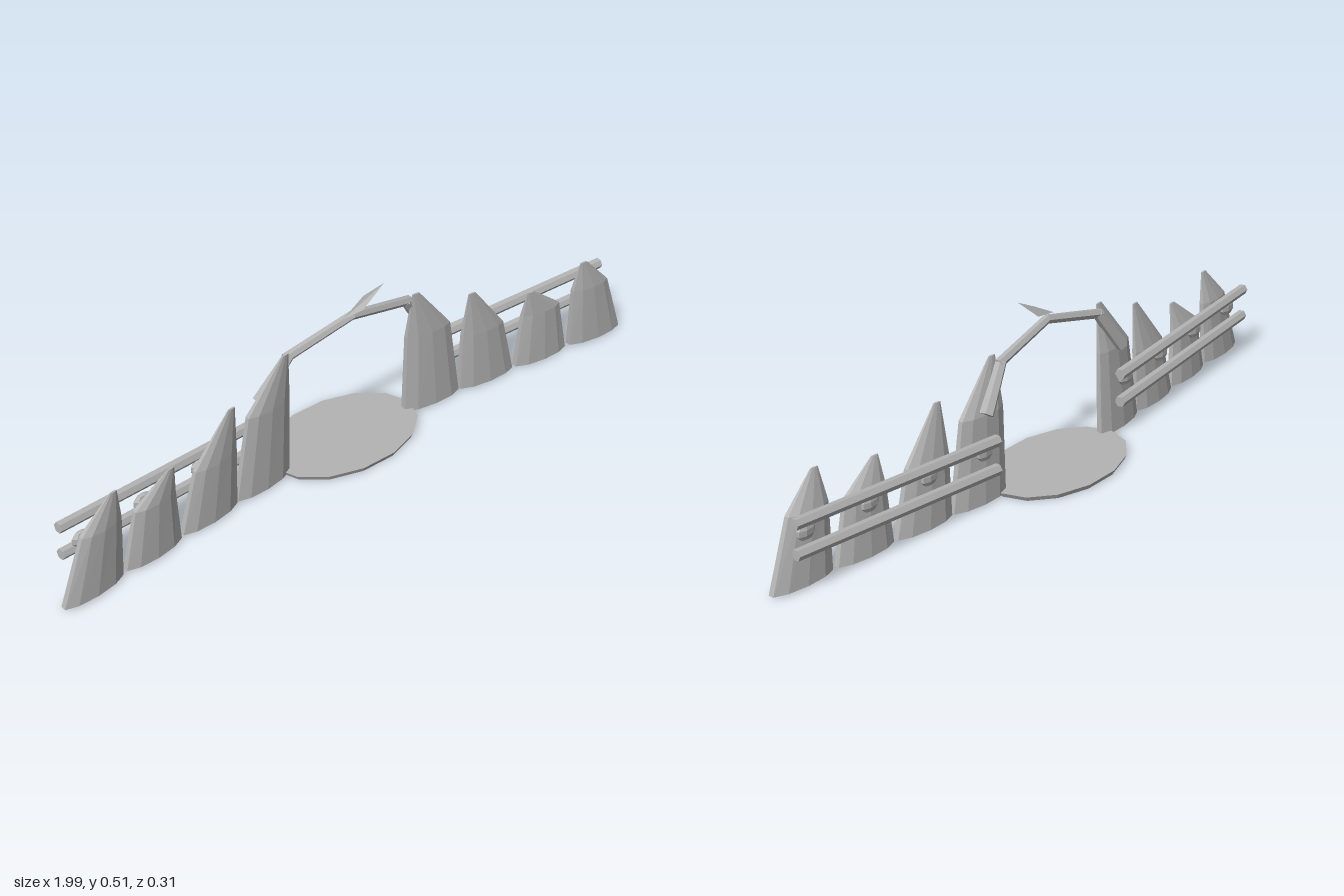
import * as THREE from 'three';

const stone = new THREE.MeshStandardMaterial({ color: 0xb4b4b4, flatShading: true, side: THREE.DoubleSide });
stone.name = 'grey';

function add(parent, name, geometry) {
  const mesh = new THREE.Mesh(geometry, stone);
  mesh.name = name;
  parent.add(mesh);
  return mesh;
}

// Straight bar between two points
function bar(parent, name, a, b, ra, rb, sides = 6) {
  const p = new THREE.Vector3(...a), q = new THREE.Vector3(...b);
  const d = q.clone().sub(p);
  const mesh = add(parent, name, new THREE.CylinderGeometry(rb, ra, d.length(), sides));
  mesh.position.copy(p).add(q).multiplyScalar(0.5);
  mesh.quaternion.setFromUnitVectors(new THREE.Vector3(0, 1, 0), d.normalize());
}

// Flattened picket lofted through base, shoulder and tip; each row is [xInner, xOuter, y, halfDepth, z]
function picket(rows, side) {
  const geo = new THREE.CylinderGeometry(1, 1, 1, 10, 2);
  const pos = geo.attributes.position;
  for (let i = 0; i < pos.count; i++) {
    const [x0, x1, y, depth, z] = rows[Math.round((pos.getY(i) + 0.5) * 2)];
    const dx = pos.getX(i) * (x1 - x0) / 2;
    pos.setXYZ(i, side * (x0 + x1) / 2 + dx, y, z + pos.getZ(i) * depth + dx * side * 0.09);
  }
  geo.computeVertexNormals();
  return geo;
}

// base span, shoulder span and height, tip position, depth position
const PICKETS = [
  { base: [0.205, 0.405], shoulder: [0.205, 0.36, 0.26], tip: [0.228, 0.405], z: 0.026 },
  { base: [0.4, 0.6], shoulder: [0.4, 0.55, 0.19], tip: [0.422, 0.335], z: 0.046 },
  { base: [0.6, 0.795], shoulder: [0.615, 0.755, 0.178], tip: [0.635, 0.26], z: 0.068 },
  { base: [0.8, 1.0], shoulder: [0.797, 0.93, 0.2], tip: [0.824, 0.295], z: 0.09 },
];

export function createModel() {
  const model = new THREE.Group();
  model.name = 'fenceWithArch';

  // Oval ground slab
  const slab = add(model, 'groundSlab', new THREE.CylinderGeometry(1, 0.965, 0.014, 14));
  slab.geometry.rotateY(Math.PI / 2);
  slab.scale.set(0.243, 1, 0.161);
  slab.position.y = 0.007;

  for (const side of [1, -1]) {
    const half = new THREE.Group();
    half.name = side > 0 ? 'leftFence' : 'rightFence';
    model.add(half);

    for (const { base, shoulder, tip, z } of PICKETS) {
      add(half, 'picket', picket([
        [...base, 0.006, 0.027, z],
        [...shoulder, 0.022, z + 0.004],
        [tip[0] - 0.012, tip[0] + 0.012, tip[1], 0.003, z + 0.012],
      ], side));
      // Knot holding the picket to the rails
      const knot = add(half, 'knot', new THREE.SphereGeometry(1, 7, 5));
      knot.scale.set(0.032, 0.025, 0.012);
      knot.position.set(side * (base[0] + base[1]) / 2, 0.163, z - 0.028);
    }

    // Two rails behind the pickets
    for (const y of [0.1, 0.186])
      bar(half, 'rail', [side * 0.265, y, -0.012], [side * 0.955, y + 0.025, 0.043], 0.017, 0.016);

    // Arch brace and beam
    bar(half, 'archBrace', [side * 0.29, 0.265, 0.004], [side * 0.205, 0.385, 0.024], 0.021, 0.016);
    bar(half, 'archBeam', [side * 0.218, 0.381, 0.023], [0, 0.432, 0.038], 0.014, 0.013);
  }

  // Diamond leaf on the top of the arch
  const leaf = new THREE.BufferGeometry();
  leaf.setAttribute('position', new THREE.Float32BufferAttribute([
    -0.04, 0.437, 0.046, 0.01, 0.463, 0.073, 0.095, 0.506, 0.059, 0.055, 0.462, 0.021,
  ], 3));
  leaf.setIndex([0, 1, 2, 0, 2, 3]);
  leaf.computeVertexNormals();
  add(model, 'leaf', leaf);

  return model;
}
